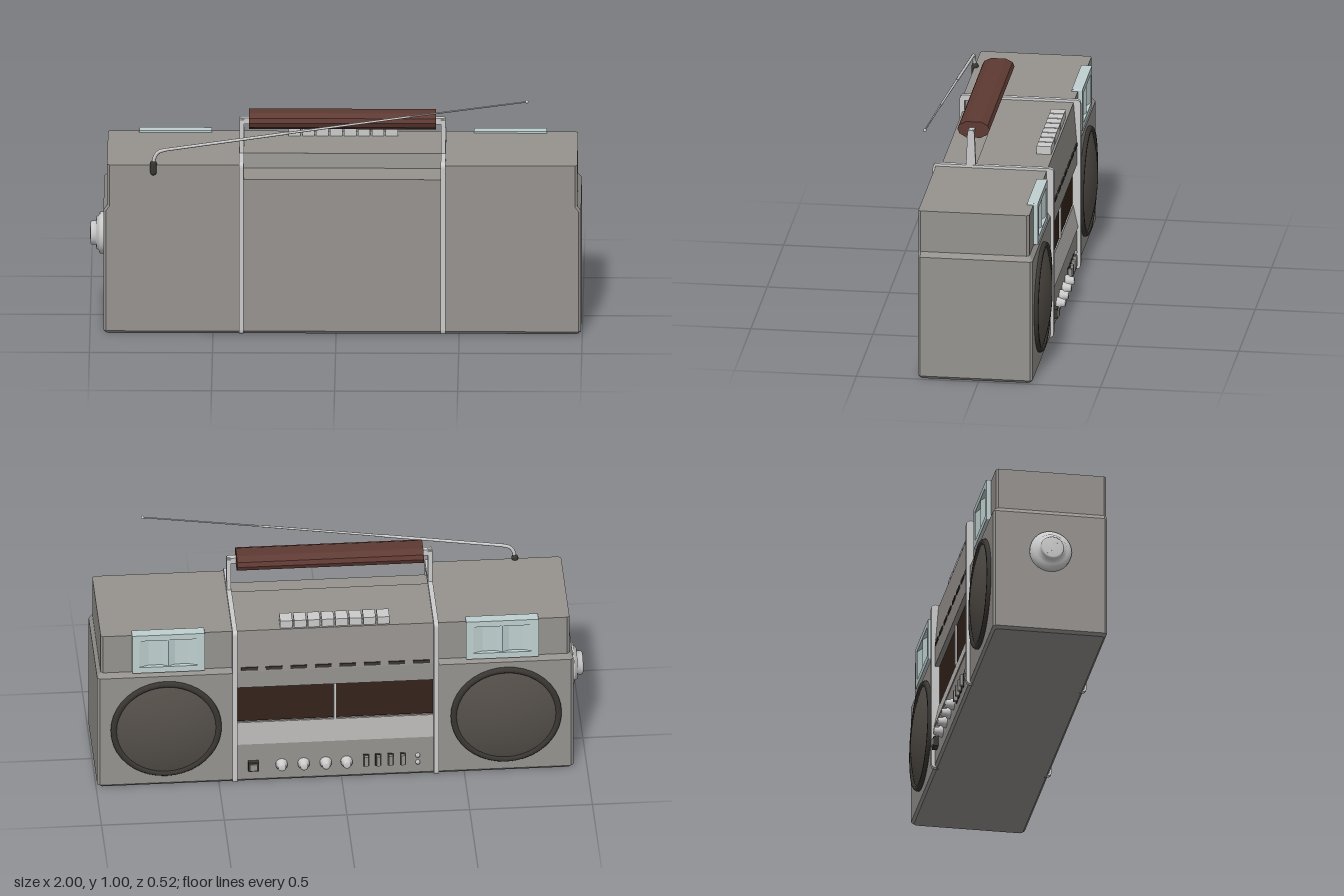
import * as THREE from 'three';

const mat = (color, side = THREE.FrontSide) => new THREE.MeshStandardMaterial({ color, side });
const GREY = mat(0xcccccc), BODY = mat(0x96938f), DARK = mat(0x3a3733), DOME = mat(0x55504a),
  BROWN = mat(0x5e3a33), WINDOW = mat(0x35241a), GLASS = mat(0xbfd0d0), PANEL = mat(0xb4b2af);
const STRAPS = [-0.385, 0.435];
const FACE = -0.22;

export function createModel() {
  const model = new THREE.Group();

  const add = (name, geo, material, x = 0, y = 0, z = 0) => {
    const m = new THREE.Mesh(geo, material);
    m.name = name;
    m.position.set(x, y, z);
    model.add(m);
    return m;
  };
  const box = (name, w, h, d, material, x, y, z) => add(name, new THREE.BoxGeometry(w, h, d), material, x, y, z);
  const polygon = pts => new THREE.Shape(pts.map(p => new THREE.Vector2(...p)));
  const extrude = (shape, depth, extra) =>
    new THREE.ExtrudeGeometry(shape, { depth, bevelEnabled: false, curveSegments: 4, ...extra });
  // side profile given as (-z, y), extruded along x
  const alongX = (shape, depth) => extrude(shape, depth).rotateY(Math.PI / 2);
  const roundRect = (x0, y0, x1, y1, r, Type = THREE.Shape) => {
    const s = new Type();
    s.moveTo(x0 + r, y0).lineTo(x1 - r, y0).quadraticCurveTo(x1, y0, x1, y0 + r);
    s.lineTo(x1, y1 - r).quadraticCurveTo(x1, y1, x1 - r, y1);
    s.lineTo(x0 + r, y1).quadraticCurveTo(x0, y1, x0, y1 - r);
    s.lineTo(x0, y0 + r).quadraticCurveTo(x0, y0, x0 + r, y0);
    return s;
  };
  // knob turned about z, facing the -z side
  const turned = (pts, seg = 24) =>
    new THREE.LatheGeometry(pts.map(p => new THREE.Vector2(...p)), seg).rotateX(-Math.PI / 2);

  // chamfered block lofted upwards through rings [x0, x1, z0, z1, y]
  const loft = rings => {
    const pos = [], b = 0.01;
    const loops = rings.map(([x0, x1, z0, z1, y]) => [
      [x0 + b, y, z1], [x1 - b, y, z1], [x1, y, z1 - b], [x1, y, z0 + b],
      [x1 - b, y, z0], [x0 + b, y, z0], [x0, y, z0 + b], [x0, y, z1 - b]]);
    const tri = (a, c, d) => pos.push(...a, ...c, ...d);
    for (let i = 0; i < loops.length - 1; i++)
      for (let j = 0; j < 8; j++) {
        const k = (j + 1) % 8, lo = loops[i], hi = loops[i + 1];
        tri(lo[j], lo[k], hi[k]);
        tri(lo[j], hi[k], hi[j]);
      }
    const bottom = loops[0], top = loops[loops.length - 1];
    for (let j = 1; j < 7; j++) {
      tri(top[0], top[j], top[j + 1]);
      tri(bottom[0], bottom[j + 1], bottom[j]);
    }
    const g = new THREE.BufferGeometry();
    g.setAttribute('position', new THREE.Float32BufferAttribute(pos, 3));
    g.computeVertexNormals();
    return g;
  };

  // speaker housings at both ends, stepped in at the shoulder
  const housing = (inner, outer) => {
    const s = Math.sign(outer);
    const ring = (inset, zBack, zFront, y) => {
      const o = outer - s * inset;
      return [Math.min(inner, o), Math.max(inner, o), zBack, zFront, y];
    };
    add('speakerHousing', loft([
      ring(0.01, FACE + 0.01, 0.24, 0), ring(0, FACE, 0.25, 0.012),
      ring(0, FACE, 0.25, 0.525), ring(0.015, -0.205, 0.25, 0.545),
      ring(0.015, -0.205, 0.25, 0.72)]), BODY);
  };
  housing(STRAPS[0], -0.945);
  housing(STRAPS[1], 0.995);

  // middle section with handle notch and recessed cassette bay
  add('middleSection', alongX(polygon([
    [-0.24, 0], [0.21, 0], [0.22, 0.012], [0.22, 0.18], [0.2, 0.275], [0.195, 0.275], [0.195, 0.455],
    [0.22, 0.455], [0.22, 0.53], [0.205, 0.72], [-0.09, 0.72], [-0.1, 0.66], [-0.25, 0.66], [-0.25, 0.012]]),
    STRAPS[1] - STRAPS[0]), BODY, STRAPS[0]);

  // straps round the case
  for (const x of STRAPS) {
    const ring = roundRect(-0.262, 0.002, 0.234, 0.731, 0.018);
    ring.holes.push(roundRect(-0.242, 0.02, 0.196, 0.708, 0.005, THREE.Path));
    add('strap', alongX(ring, 0.02), GREY, x - 0.01);
  }

  // cassette bay
  for (const s of [-1, 1])
    box('cassetteWindow', 0.392, 0.17, 0.008, WINDOW, 0.025 + s * 0.202, 0.367, -0.197);
  box('cassetteDivider', 0.012, 0.175, 0.016, GREY, 0.025, 0.366, -0.2);
  const strip = box('slopingPanel', 0.8, 0.096, 0.006, PANEL, 0.025, 0.228, -0.211);
  strip.rotation.x = 0.207;
  for (let i = 0; i < 8; i++)
    box('ventSlot', 0.068, 0.014, 0.008, DARK, 0.375 - i * 0.1, 0.545, -0.219);

  // speakers
  const dome = [];
  for (let i = 0; i <= 10; i++) {
    const r = 0.212 * (1 - i / 10);
    dome.push([r, 0.006 + 0.034 * (1 - (r / 0.212) ** 2)]);
  }
  for (const x of [-0.67, 0.715]) {
    add('speakerGrille', turned(dome, 40), DOME, x, 0.275, FACE);
    add('speakerRim', turned([[0.226, 0], [0.226, 0.008], [0.22, 0.016], [0.208, 0.016], [0.2, 0.006]], 40),
      DARK, x, 0.275, FACE);
  }

  // framed lamps above the speakers
  for (const x of [-0.655, 0.705]) {
    const frame = roundRect(-0.148, 0.548, 0.148, 0.728, 0.006);
    frame.holes.push(roundRect(-0.118, 0.575, 0.118, 0.702, 0.004, THREE.Path));
    add('lampFrame', extrude(frame, 0.044), GLASS, x, 0, -0.224);
    add('lampGlass', extrude(polygon([
      [-0.119, 0], [0.119, 0], [0.119, 0.017], [0.08, 0.003], [0.028, 0.003], [0, 0.017],
      [-0.028, 0.003], [-0.08, 0.003], [-0.119, 0.017]]), 0.128).rotateX(-Math.PI / 2), GLASS, x, 0.575, -0.204);
  }

  // controls along the lower edge
  box('powerSwitch', 0.042, 0.042, 0.024, DARK, 0.36, 0.08, -0.228);
  box('powerSwitchCap', 0.03, 0.03, 0.02, BODY, 0.36, 0.08, -0.236);
  for (const x of [0.245, 0.155, 0.065, -0.02])
    add('controlKnob', turned([[0.024, 0], [0.024, 0.012], [0.018, 0.016], [0.016, 0.034], [0.012, 0.037], [0, 0.037]], 16),
      GREY, x, 0.08, FACE);
  for (const x of [-0.1, -0.15, -0.2, -0.25]) {
    box('sliderSlot', 0.026, 0.058, 0.006, DARK, x, 0.08, -0.22);
    box('sliderTab', 0.016, 0.046, 0.022, BODY, x, 0.08, -0.225);
  }
  for (const y of [0.062, 0.095])
    add('socket', turned([[0.009, 0], [0.009, 0.008], [0, 0.008]], 10), GREY, -0.31, y, FACE);

  // row of keys on top
  for (let i = 0; i < 8; i++)
    box('key', 0.05, 0.04, 0.06, GREY, -0.172 + i * 0.0565, 0.734, -0.167);

  // tuning dial on the end
  const dial = add('tuningDial', new THREE.LatheGeometry([
    [0.086, 0], [0.086, 0.016], [0.072, 0.02], [0.066, 0.03], [0.05, 0.032], [0.048, 0.05],
    [0.042, 0.055], [0, 0.055]].map(p => new THREE.Vector2(...p)), 28).rotateZ(Math.PI / 2), GREY, -0.945, 0.355, 0.015);
  const grip = new THREE.Mesh(new THREE.BoxGeometry(0.008, 0.07, 0.012), GREY);
  grip.name = 'dialGrip';
  grip.position.x = -0.052;
  grip.rotation.x = 0.6;
  dial.add(grip);

  // carrying handle with tapered posts
  add('handleGrip', alongX(polygon([
    [-0.166, 0.872], [-0.158, 0.852], [-0.13, 0.836], [-0.07, 0.836], [-0.042, 0.852], [-0.034, 0.872],
    [-0.042, 0.89], [-0.07, 0.904], [-0.13, 0.904], [-0.158, 0.89]]), 0.76), BROWN, -0.355);
  for (const [i, x] of STRAPS.entries()) {
    add('handlePost', alongX(polygon([[-0.126, 0.72], [-0.086, 0.72], [-0.092, 0.872], [-0.1, 0.88],
      [-0.112, 0.88], [-0.12, 0.872]]), 0.018), GREY, x - 0.009);
    box('handlePin', 0.05, 0.026, 0.024, GREY, x + (i ? -0.02 : 0.02), 0.866, 0.106);
  }

  // telescopic aerial
  const rod = (name, a, b, r0, r1) => {
    const p = new THREE.Vector3(...a), q = new THREE.Vector3(...b), d = q.clone().sub(p);
    const m = add(name, new THREE.CylinderGeometry(r1, r0, d.length(), 10), GREY);
    m.position.copy(p).add(q).multiplyScalar(0.5);
    m.quaternion.setFromUnitVectors(new THREE.Vector3(0, 1, 0), d.normalize());
  };
  add('aerialPivot', new THREE.CapsuleGeometry(0.014, 0.036, 4, 10), DARK, -0.742, 0.708, 0.248);
  add('aerialElbow', new THREE.TubeGeometry(new THREE.CatmullRomCurve3([
    [-0.742, 0.72, 0.25], [-0.738, 0.75, 0.25], [-0.722, 0.775, 0.25], [-0.69, 0.786, 0.25]]
    .map(p => new THREE.Vector3(...p))), 12, 0.0075, 8), GREY);
  rod('aerialLower', [-0.7, 0.784, 0.25], [-0.2, 0.857, 0.25], 0.0065, 0.006);
  rod('aerialMiddle', [-0.2, 0.857, 0.25], [0.3, 0.929, 0.25], 0.005, 0.0045);
  rod('aerialUpper', [0.3, 0.929, 0.25], [0.775, 0.994, 0.25], 0.0035, 0.003);
  add('aerialTip', new THREE.SphereGeometry(0.007, 12, 8), GREY, 0.775, 0.994, 0.25);

  return model;
}
